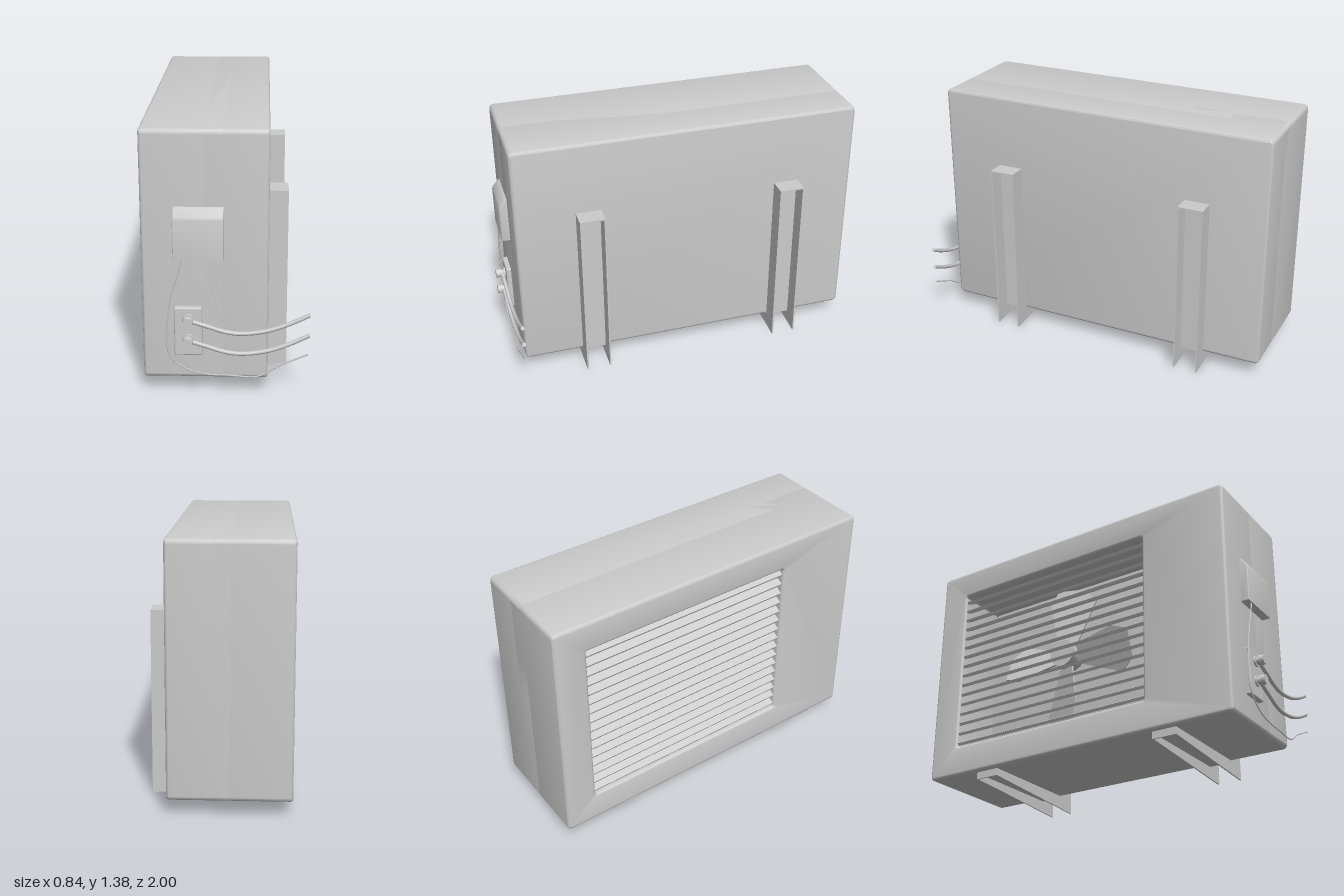
import * as THREE from 'three';
import { toCreasedNormals } from 'three/addons/utils/BufferGeometryUtils.js';
import { RoundedBoxGeometry } from 'three/addons/geometries/RoundedBoxGeometry.js';

const grey = new THREE.MeshStandardMaterial({ color: 0xcccccc });
const thin = new THREE.MeshStandardMaterial({ color: 0xcccccc, side: THREE.DoubleSide });

function add(parent, name, geometry, x = 0, y = 0, z = 0, material = grey) {
  const mesh = new THREE.Mesh(geometry, material);
  mesh.name = name;
  mesh.position.set(x, y, z);
  parent.add(mesh);
  return mesh;
}

// Rounded rectangle between two corners
function roundRect(path, x0, y0, x1, y1, r) {
  path.moveTo(x0 + r, y0);
  path.lineTo(x1 - r, y0);
  path.absarc(x1 - r, y0 + r, r, -Math.PI / 2, 0);
  path.lineTo(x1, y1 - r);
  path.absarc(x1 - r, y1 - r, r, 0, Math.PI / 2);
  path.lineTo(x0 + r, y1);
  path.absarc(x0 + r, y1 - r, r, Math.PI / 2, Math.PI);
  path.lineTo(x0, y0 + r);
  path.absarc(x0 + r, y0 + r, r, Math.PI, Math.PI * 1.5);
  return path;
}

// Extrude a (z, y) outline along x, from x0 to x1
function extrudeX(shape, x0, x1, bevel = 0) {
  const geo = new THREE.ExtrudeGeometry(shape, {
    depth: x1 - x0 - 2 * bevel, curveSegments: 4, bevelEnabled: bevel > 0,
    bevelSize: bevel, bevelThickness: bevel, bevelOffset: -bevel, bevelSegments: 3,
  });
  geo.rotateY(-Math.PI / 2);
  geo.translate(x1 - bevel, 0, 0);
  return toCreasedNormals(geo, 0.7);
}

const polygon = pts => new THREE.Shape(pts.map(p => new THREE.Vector2(...p)));
const GRILLE = { z0: -0.82, z1: 0.42, y0: 0.25, y1: 1.22 };

// Casing: an open-fronted shell overlapping a solid rear half
function addCasing(group) {
  const outline = () => roundRect(new THREE.Shape(), -1, 0.08, 0.92, 1.385, 0.025);
  const shell = outline();
  shell.holes.push(roundRect(new THREE.Path(), GRILLE.z0, GRILLE.y0, GRILLE.z1, GRILLE.y1, 0.012));
  add(group, 'casingShell', extrudeX(shell, -0.42, 0, 0.015));
  add(group, 'casingRear', extrudeX(outline(), -0.12, 0.21, 0.015));
}

// Louvre slats across the opening
function addLouvres(group) {
  const louvres = new THREE.Group();
  louvres.name = 'louvres';
  const count = 16, pitch = (GRILLE.y1 - GRILLE.y0) / count;
  const slat = new THREE.BoxGeometry(0.05, 0.016, GRILLE.z1 - GRILLE.z0);
  for (let i = 0; i < count; i++) {
    const m = add(louvres, 'slat', slat, -0.385, GRILLE.y0 + (i + 0.5) * pitch, (GRILLE.z0 + GRILLE.z1) / 2);
    m.rotation.z = 0.5;
  }
  group.add(louvres);
}

// Fan behind the louvres
function addFan(group) {
  const fan = new THREE.Group();
  fan.name = 'fan';
  fan.position.set(-0.23, (GRILLE.y0 + GRILLE.y1) / 2, (GRILLE.z0 + GRILLE.z1) / 2);
  add(fan, 'fanHub', new THREE.CylinderGeometry(0.08, 0.08, 0.1, 24)).rotation.z = Math.PI / 2;
  add(fan, 'fanShaft', new THREE.CylinderGeometry(0.03, 0.03, 0.12, 16), 0.06).rotation.z = Math.PI / 2;
  const blade = polygon([[-0.05, 0.05], [0.05, 0.05], [0.17, 0.34], [0.1, 0.42], [-0.06, 0.42], [-0.1, 0.32]]);
  const geo = extrudeX(blade, -0.005, 0.005);
  geo.rotateY(0.35);
  for (let i = 0; i < 4; i++) add(fan, 'fanBlade', geo).rotation.x = i * Math.PI / 2;
  group.add(fan);
}

// L-shaped support channel, open away from the casing
function addBracket(group, z) {
  const bracket = new THREE.Group();
  bracket.name = 'supportBracket';
  bracket.position.z = z;
  const w = 0.14, t = 0.008;
  const side = polygon([[-0.39, 0.08], [-0.39, 0.04], [0.31, 0], [0.31, 0.98], [0.21, 0.98], [0.21, 0.08]]);
  const flange = new THREE.ExtrudeGeometry(side, { depth: t, bevelEnabled: false });
  add(bracket, 'bracketFlange', flange, 0, 0, w / 2 - t);
  add(bracket, 'bracketFlange', flange, 0, 0, -w / 2);
  add(bracket, 'bracketUprightWeb', new THREE.BoxGeometry(t, 0.9, w), 0.21 + t / 2, 0.53);
  add(bracket, 'bracketFootWeb', new THREE.BoxGeometry(0.6, t, w), -0.09, 0.08 - t / 2);
  add(bracket, 'bracketTopCap', new THREE.BoxGeometry(0.1, t, w), 0.26, 0.98 - t / 2);
  add(bracket, 'bracketEndCap', new THREE.BoxGeometry(t, 0.04, w), -0.39 + t / 2, 0.06);
  group.add(bracket);
}

// Smooth tube through a few points
function addTube(group, name, pts, radius, sides) {
  const curve = new THREE.CatmullRomCurve3(pts.map(p => new THREE.Vector3(...p)));
  add(group, name, new THREE.TubeGeometry(curve, 40, radius, sides), 0, 0, 0, thin);
  // Closed far end
  const cap = add(group, name + 'End', new THREE.CircleGeometry(radius, sides), 0, 0, 0, thin);
  cap.position.copy(curve.getPoint(1));
  cap.lookAt(curve.getPoint(1).add(curve.getTangent(1)));
}

// Service cover, valve plate, pipes and cable on the front end
function addServiceEnd(group) {
  const cover = polygon([[0.915, 0.74], [0.965, 0.74], [0.965, 0.945], [0.96, 0.96], [0.93, 0.996], [0.915, 1.002]]);
  add(group, 'serviceCover', extrudeX(cover, -0.26, -0.01, 0.005));
  add(group, 'valvePlate', new RoundedBoxGeometry(0.14, 0.26, 0.035, 2, 0.008), -0.19, 0.35, 0.93);

  for (const y of [0.42, 0.31]) {
    const valve = new THREE.Group();
    valve.name = 'valve';
    valve.position.set(-0.19, y, 0);
    const parts = [['valveCollar', 0.03, 0.94, 0.957], ['valveStem', 0.02, 0.95, 0.98], ['valveCap', 0.027, 0.972, 1]];
    for (const [name, r, z0, z1] of parts) {
      const geo = new THREE.CylinderGeometry(r * 0.92, r, z1 - z0, 16);
      geo.rotateX(Math.PI / 2);
      add(valve, name, geo, 0, 0, (z0 + z1) / 2);
    }
    group.add(valve);
    addTube(group, 'pipe', [[-0.19, y, 0.963], [-0.1, y - 0.03, 0.961], [0, y - 0.063, 0.958], [0.08, y - 0.072, 0.956],
      [0.2, y - 0.057, 0.954], [0.31, y - 0.02, 0.952], [0.415, y + 0.03, 0.95]], 0.011, 10);
  }

  addTube(group, 'cable', [[-0.21, 0.76, 0.955], [-0.24, 0.65, 0.956], [-0.275, 0.53, 0.957], [-0.295, 0.36, 0.957],
    [-0.292, 0.25, 0.957], [-0.26, 0.195, 0.957], [-0.19, 0.145, 0.957], [-0.1, 0.122, 0.957], [0.03, 0.116, 0.957],
    [0.16, 0.112, 0.957], [0.26, 0.17, 0.955], [0.41, 0.237, 0.953]], 0.004, 6);
}

export function createModel() {
  const group = new THREE.Group();
  group.name = 'outdoorUnit';
  addCasing(group);
  addLouvres(group);
  addFan(group);
  addBracket(group, 0.52);
  addBracket(group, -0.61);
  addServiceEnd(group);
  return group;
}
